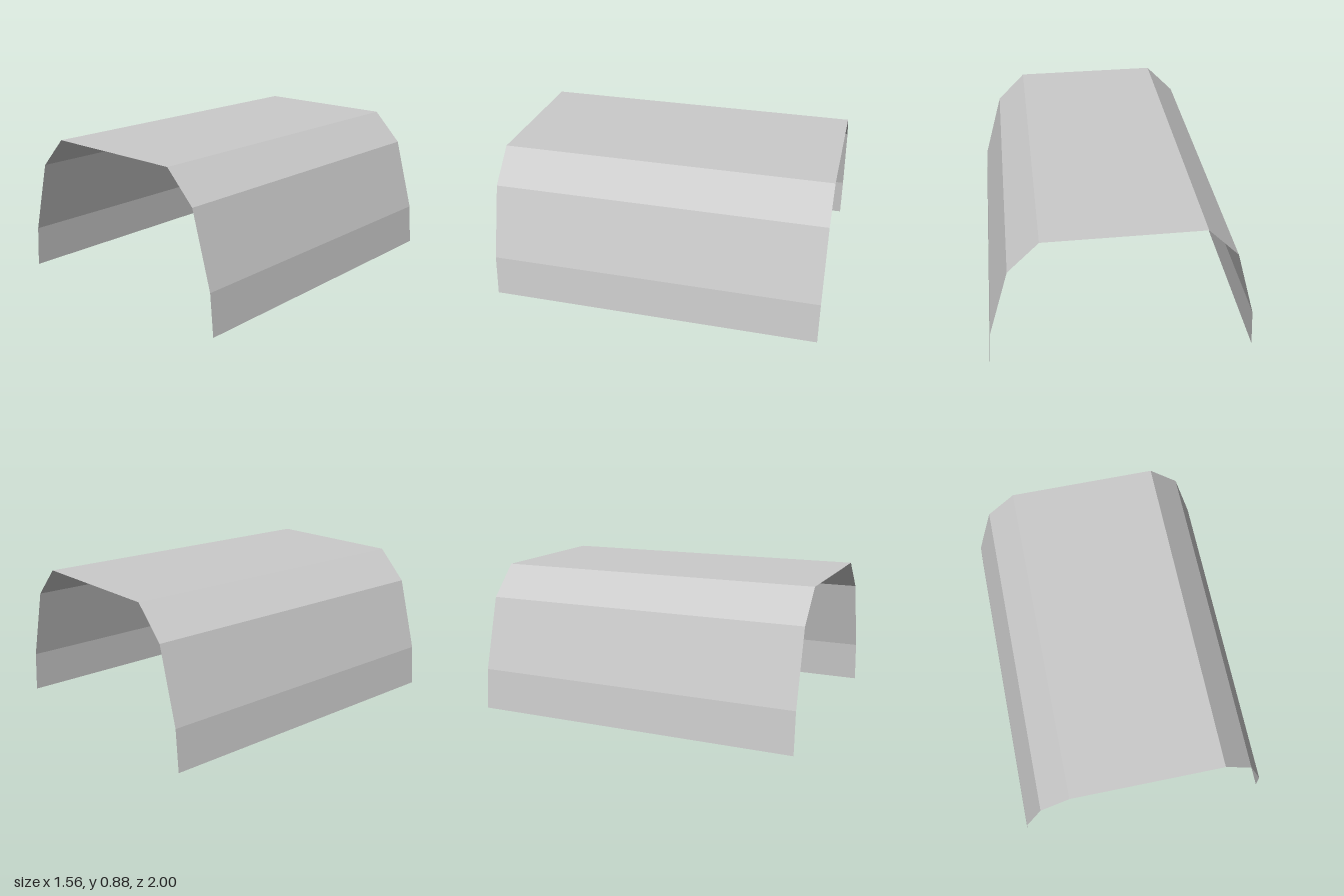
import * as THREE from 'three';

// Right half of the cross-section, from the bottom edge up to the roof edge
const HALF = [[0.78, 0], [0.76, 0.25], [0.637, 0.69], [0.456, 0.875]];
const LENGTH = 2;

export function createModel() {
  const group = new THREE.Group();
  group.name = 'canopy';
  const material = new THREE.MeshStandardMaterial({
    color: 0xcccccc, flatShading: true, side: THREE.DoubleSide,
  });

  // Mirror the half section into a full open arch, running from +x to -x
  const profile = [...HALF, ...HALF.map(([x, y]) => [-x, y]).reverse()];

  // Sweep each segment of the arch along z as one flat, thin panel
  const names = ['lowerWall', 'upperWall', 'shoulder', 'roof', 'shoulder', 'upperWall', 'lowerWall'];
  names.forEach((name, i) => {
    const [x0, y0] = profile[i];
    const [x1, y1] = profile[i + 1];
    const h = LENGTH / 2;
    const geometry = new THREE.BufferGeometry();
    geometry.setAttribute('position', new THREE.Float32BufferAttribute(
      [x0, y0, h, x0, y0, -h, x1, y1, -h, x1, y1, h], 3));
    geometry.setIndex([0, 1, 2, 0, 2, 3]);
    geometry.computeVertexNormals();
    const panel = new THREE.Mesh(geometry, material);
    panel.name = i === 3 ? name : (i < 3 ? 'left ' : 'right ') + name;
    group.add(panel);
  });
  return group;
}
